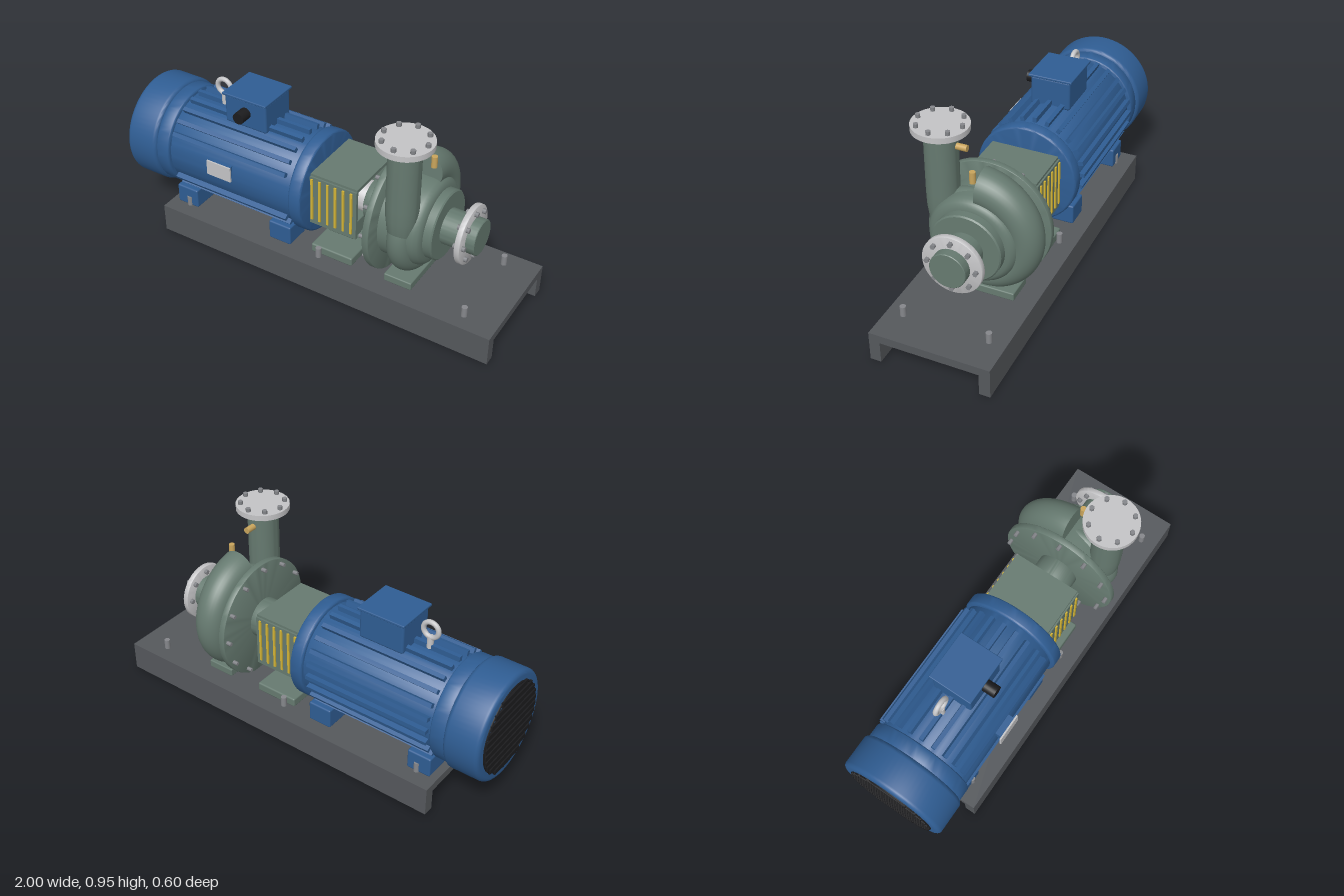
import * as THREE from 'three';
import { toCreasedNormals } from 'three/addons/utils/BufferGeometryUtils.js';
import { RoundedBoxGeometry } from 'three/addons/geometries/RoundedBoxGeometry.js';
import { ParametricGeometry } from 'three/addons/geometries/ParametricGeometry.js';

const mat = (name, color) => {
  const m = new THREE.MeshStandardMaterial({ color });
  m.name = name;
  return m;
};

export function createModel() {
  const blue = mat('motor blue', 0x2f5d93);
  const green = mat('pump green', 0x667a70);
  const dark = mat('base grey', 0x55585c);
  const light = mat('light steel', 0xc4c4c6);
  const steel = mat('bolt steel', 0x85878b);
  const brass = mat('brass', 0xc9a55c);
  const yellow = mat('guard yellow', 0xd3b437);
  const black = mat('black', 0x1c1c1e);

  const model = new THREE.Group();
  model.name = 'pumpSet';
  const AY = 0.425, AZ = 0.005; // shaft axis

  const add = (parent, name, geo, material, x = 0, y = 0, z = 0) => {
    const mesh = new THREE.Mesh(geo, material);
    mesh.name = name;
    mesh.position.set(x, y, z);
    parent.add(mesh);
    return mesh;
  };
  const group = (name, y = 0, z = 0) => {
    const g = new THREE.Group();
    g.name = name;
    g.position.set(0, y, z);
    model.add(g);
    return g;
  };
  // Box given by its lower and upper limits
  const box = (parent, name, m, [x0, x1], [y0, y1], [z0, z1], r = 0) => {
    const s = [x1 - x0, y1 - y0, z1 - z0];
    const geo = r ? new RoundedBoxGeometry(...s, 2, r) : new THREE.BoxGeometry(...s);
    return add(parent, name, geo, m, (x0 + x1) / 2, (y0 + y1) / 2, (z0 + z1) / 2);
  };
  // Solid turned about the x axis from [x, radius] points
  const turned = (points, segments = 64) => toCreasedNormals(
    new THREE.LatheGeometry(points.map(([x, r]) => new THREE.Vector2(r, x)), segments)
      .rotateZ(-Math.PI / 2), 0.6);
  const drum = (x0, x1, r, b = 0.004) => {
    const pts = [[x0, 0]];
    for (let i = 0; i <= 4; i++) {
      const t = i * Math.PI / 8;
      pts.push([x0 + b * (1 - Math.sin(t)), r - b * (1 - Math.cos(t))].map((v, k) => k ? r - b + b * Math.sin(t) : x0 + b - b * Math.cos(t)));
    }
    for (let i = 0; i <= 4; i++) {
      const t = i * Math.PI / 8;
      pts.push([x1 - b + b * Math.sin(t), r - b + b * Math.cos(t)]);
    }
    pts.push([x1, 0]);
    return turned(pts);
  };
  const upright = (r, h, sides = 24) => new THREE.CylinderGeometry(r, r, h, sides);

  // Channel base with anchor bolts
  const base = group('base', 0, AZ);
  const u = new THREE.Shape([[-0.285, 0], [-0.233, 0], [-0.233, 0.105], [0.233, 0.105],
    [0.233, 0], [0.285, 0], [0.285, 0.145], [-0.285, 0.145]].map(p => new THREE.Vector2(...p)));
  add(base, 'baseChannel', new THREE.ExtrudeGeometry(u, { depth: 1.77, bevelEnabled: false })
    .rotateY(Math.PI / 2), dark, -0.775);
  for (const x of [-0.67, 0.08, 0.835]) for (const s of [-1, 1])
    add(base, 'anchorBolt', upright(0.014, 0.06, 16), steel, x, 0.165, s * 0.205);
  add(base, 'drainPlug', upright(0.018, 0.02), brass, 0.49, 0.097, 0);

  // Motor body, end bells and fan cover
  const motor = group('motor', AY, AZ);
  add(motor, 'motorBody', drum(-0.76, -0.04, 0.23), blue);
  add(motor, 'fanCover', drum(-0.99, -0.815, 0.263, 0.022), blue);
  add(motor, 'rearBell', drum(-0.82, -0.745, 0.25, 0.01), blue);
  add(motor, 'frontBell', drum(-0.06, 0.006, 0.25, 0.012), blue);
  for (let i = 0; i < 24; i++) {
    if (i <= 1 || i === 23) continue; // smooth strip behind the plate
    const fin = new THREE.BoxGeometry(0.64, 0.02, 0.065);
    fin.translate(0, 0, 0.2225).rotateX(-i * Math.PI / 12);
    add(motor, 'coolingFin', fin, blue, -0.41);
  }
  for (let i = -5; i <= 5; i++) {
    const y = i * 0.037;
    const half = Math.sqrt(0.212 ** 2 - y * y);
    box(motor, 'fanGrilleSlot', black, [-1.0, -0.985], [y - 0.0125, y + 0.0125], [-half, half]);
  }
  const rim = add(motor, 'fanGrilleRim', new THREE.TorusGeometry(0.212, 0.006, 8, 64), black, -0.99);
  rim.rotation.y = Math.PI / 2;
  box(motor, 'namePlate', light, [-0.505, -0.37], [0.003, 0.08], [0.252, 0.26]);
  box(motor, 'plateMount', blue, [-0.49, -0.385], [0.015, 0.068], [0.2, 0.252]);

  // Motor feet, terminal box and lifting eye
  const fittings = group('motorFittings', 0, AZ);
  for (const x of [-0.68, -0.135]) for (const s of [-1, 1])
    add(fittings, 'motorFoot', new RoundedBoxGeometry(0.12, 0.1, 0.13, 2, 0.008), blue, x, 0.195, s * 0.145);
  box(fittings, 'terminalBox', blue, [-0.5, -0.27], [0.64, 0.79], [-0.1, 0.1], 0.012);
  box(fittings, 'terminalLid', blue, [-0.507, -0.263], [0.787, 0.8], [-0.11, 0.11], 0.004);
  add(fittings, 'cableGland', upright(0.029, 0.07).rotateX(Math.PI / 2), black, -0.383, 0.722, 0.125);
  add(fittings, 'liftingEye', new THREE.TorusGeometry(0.038, 0.012, 12, 40), light, -0.575, 0.752, 0);
  add(fittings, 'eyeShank', upright(0.015, 0.06), light, -0.575, 0.69, 0);

  // Coupling guard, open at both ends, with warning stripes
  const guard = group('couplingGuard', 0, AZ);
  box(guard, 'guardTop', green, [0.015, 0.26], [0.555, 0.572], [-0.165, 0.165]);
  for (const s of [-1, 1]) {
    box(guard, 'guardSide', green, [0.015, 0.26], [0.3, 0.56], [s * 0.165 - 0.008, s * 0.165 + 0.008]);
    for (let i = 0; i < 6; i++) {
      const x = 0.022 + i * 0.0415;
      box(guard, 'guardStripe', yellow, [x, x + 0.011], [0.325, 0.55], [s * 0.176 - 0.004, s * 0.176 + 0.004]);
    }
  }
  box(guard, 'guardBracket', green, [0.07, 0.205], [0.225, 0.31], [-0.1, 0.1], 0.006);
  box(guard, 'guardFoot', green, [0.03, 0.25], [0.145, 0.19], [-0.19, 0.19], 0.008);

  // Pump casing, bearing housing and suction nozzle
  const pump = group('pump', AY, AZ);
  add(pump, 'coupling', drum(0, 0.27, 0.075), light);
  add(pump, 'bearingHousing', drum(0.25, 0.38, 0.1), green);
  add(pump, 'backFlange', drum(0.36, 0.392, 0.295), green);
  add(pump, 'casing', turned([[0.385, 0], [0.385, 0.215], [0.54, 0.215], [0.562, 0.211], [0.58, 0.2],
    [0.59, 0.185], [0.592, 0.167], [0.628, 0.167], [0.634, 0.161], [0.634, 0.085], [0.797, 0.085], [0.8, 0.082], [0.8, 0]]), green);
  add(pump, 'suctionFlange', drum(0.73, 0.757, 0.142), light);
  const boltRing = (name, n, r, x, length, size) => {
    for (let i = 0; i < n; i++) {
      const a = i * 2 * Math.PI / n;
      add(pump, name, upright(size, length, 6).rotateZ(Math.PI / 2), steel, x, r * Math.cos(a), r * Math.sin(a));
    }
  };
  boltRing('suctionBolt', 8, 0.114, 0.744, 0.058, 0.012);
  boltRing('casingBolt', 12, 0.27, 0.355, 0.04, 0.01);

  // Spiral volute: a tube growing once around the shaft
  const end = 2 * Math.PI - 0.07;
  const ringAt = t => ({ R: 0.17 + 0.07 * t, r: 0.045 + 0.045 * t });
  add(pump, 'volute', new ParametricGeometry((s, t, p) => {
    const { R, r } = ringAt(s);
    const phi = -t * 2 * Math.PI, d = R + r * Math.sin(phi), a = s * end;
    p.set(0.49 + r * Math.cos(phi), d * Math.cos(a), d * Math.sin(a));
  }, 96, 32), green);
  const cap = add(pump, 'voluteEnd', new THREE.CircleGeometry(0.09, 32), green,
    0.49, 0.24 * Math.cos(end), 0.24 * Math.sin(end));
  cap.rotation.x = end - 2 * Math.PI;
  box(pump, 'pumpFoot', green, [0.42, 0.56], [-0.28, -0.24], [-0.19, 0.19], 0.006);
  add(pump, 'ventPlug', upright(0.014, 0.055), brass, 0.545, 0.313, 0);

  // Discharge pipe with flange and gauge plug
  const outlet = group('discharge', 0, 0.177);
  const pipe = [[0, 0.4], [0.05, 0.4], [0.065, 0.46], [0.073, 0.53], [0.075, 0.6], [0.075, 0.92], [0, 0.92]];
  add(outlet, 'dischargePipe', toCreasedNormals(new THREE.LatheGeometry(
    pipe.map(p => new THREE.Vector2(...p)), 48), 0.6), green, 0.49);
  add(outlet, 'dischargeFlange', toCreasedNormals(upright(0.128, 0.027, 64), 0.6), light, 0.49, 0.918);
  for (let i = 0; i < 8; i++) {
    const a = i * Math.PI / 4;
    add(outlet, 'dischargeBolt', upright(0.012, 0.054, 6), steel,
      0.49 + 0.105 * Math.cos(a), 0.922, 0.105 * Math.sin(a));
  }
  add(outlet, 'gaugePlug', upright(0.015, 0.06).rotateX(Math.PI / 2), brass, 0.49, 0.835, -0.094);
  return model;
}
